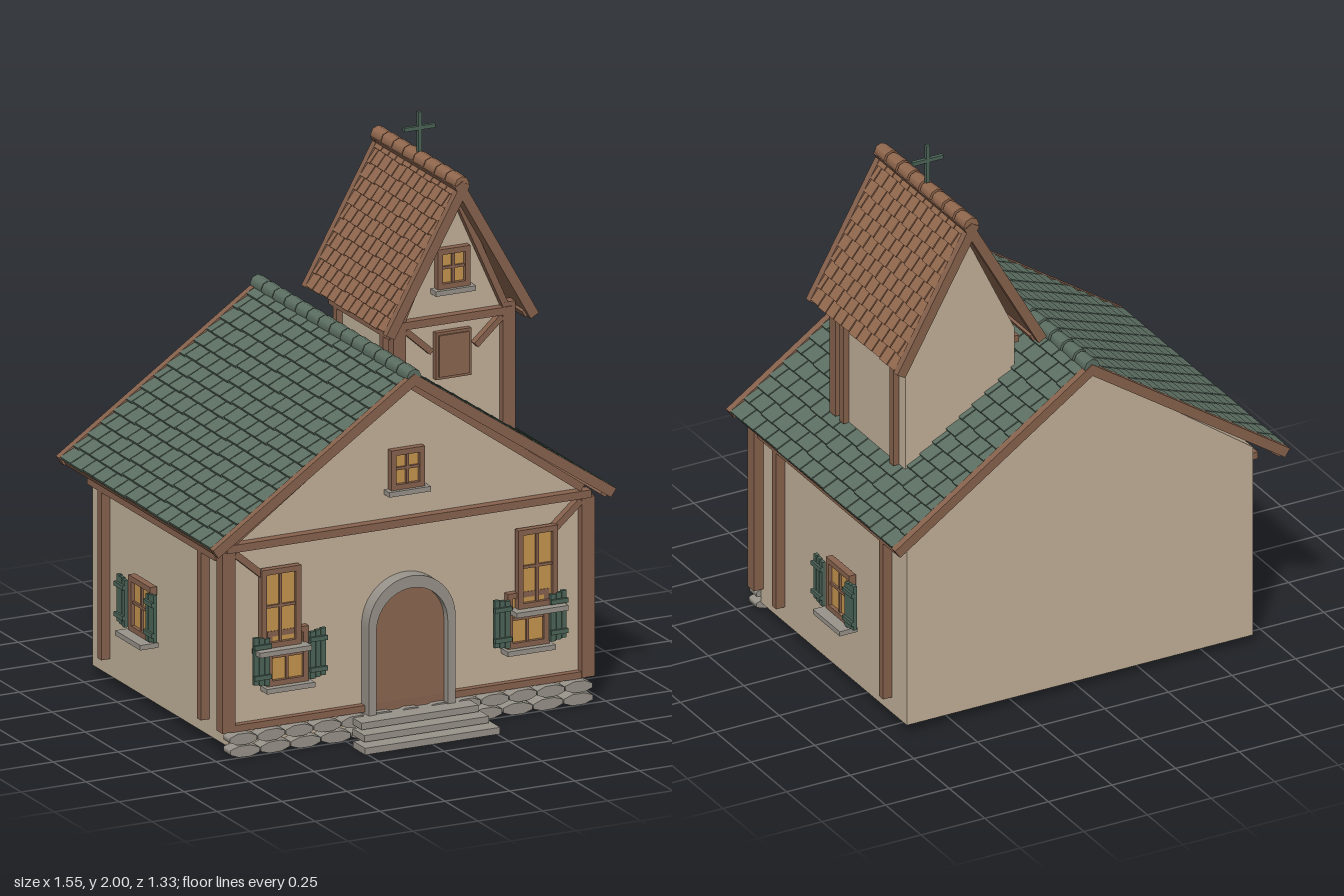
import * as THREE from 'three';
import { mergeGeometries } from 'three/addons/utils/BufferGeometryUtils.js';

const paint = (name, color) => Object.assign(new THREE.MeshStandardMaterial({ color }), { name });
const plaster = paint('plaster', 0xc2b199);
const timber = paint('timber', 0x87624d);
const doorWood = paint('door wood', 0x8b6651);
const greenTile = paint('green tile', 0x5d7063);
const brownTile = paint('brown tile', 0x93694f);
const stone = paint('stone', 0x98938a);
const glass = paint('lit glass', 0xc6954f);
const shutterGreen = paint('shutter green', 0x4c6558);

function add(parent, name, geometry, material, x = 0, y = 0, z = 0) {
  const mesh = new THREE.Mesh(geometry, material);
  mesh.name = name;
  mesh.position.set(x, y, z);
  parent.add(mesh);
  return mesh;
}

function box(parent, name, material, w, h, d, x, y, z) {
  return add(parent, name, new THREE.BoxGeometry(w, h, d), material, x, y, z);
}

// Beam between two points in a plane facing the front
function beam(parent, name, x1, y1, x2, y2, z, t = 0.028, d = 0.03) {
  const m = box(parent, name, timber, Math.hypot(x2 - x1, y2 - y1), t, d, (x1 + x2) / 2, (y1 + y2) / 2, z);
  m.rotation.z = Math.atan2(y2 - y1, x2 - x1);
}

function group(parent, name, x = 0, y = 0, z = 0, ry = 0) {
  const g = new THREE.Group();
  g.name = name;
  g.position.set(x, y, z);
  g.rotation.y = ry;
  parent.add(g);
  return g;
}

const extrude = (shape, depth) => new THREE.ExtrudeGeometry(shape, { depth, bevelEnabled: false, curveSegments: 16 });

// Wall block with a gabled top
function gabledWall(parent, name, half, base, eave, peak, z0, z1, x) {
  const pts = [[-half, base], [half, base], [half, eave], [0, peak], [-half, eave]];
  const shape = new THREE.Shape(pts.map(p => new THREE.Vector2(...p)));
  add(parent, name, extrude(shape, z1 - z0), plaster, x, 0, z0);
}

// Framed window facing +z, with its back at z = 0
function makeWindow(parent, name, w, h, x, y, z, { ry = 0, shutters = false, sill = w + 0.03, sillDepth = 0.04 } = {}) {
  const g = group(parent, name, x, y, z, ry);
  const t = 0.02;
  box(g, 'windowGlass', glass, w - t, h - t, 0.012, 0, 0, 0.006);
  for (const s of [-1, 1]) {
    box(g, 'frameSide', timber, t, h, 0.026, s * (w - t) / 2, 0, 0.013);
    box(g, 'frameRail', timber, w, t, 0.026, 0, s * (h - t) / 2, 0.013);
    if (!shutters) continue;
    const sh = group(g, 'shutter', s * (w / 2 + 0.028), 0, 0.035);
    for (let i = -1; i <= 1; i++) box(sh, 'shutterBoard', shutterGreen, 0.019, 0.17, 0.014, i * 0.021, i * s * 0.004, 0);
    for (const k of [-1, 1]) box(sh, 'shutterBatten', shutterGreen, 0.066, 0.016, 0.012, 0, k * 0.055, 0.01);
  }
  box(g, 'mullion', timber, 0.01, h - t, 0.018, 0, 0, 0.011);
  box(g, 'crossbar', timber, w - t, 0.01, 0.018, 0, h * 0.02, 0.011);
  box(g, 'sill', stone, sill, 0.018, sillDepth, 0, -h / 2 - 0.008, sillDepth / 2);
  return g;
}

// Two tiled slopes with verge beams, eave beams and ridge caps
function makeRoof(parent, name, cx, ridge, half, drop, z0, z1, rows, cols, tileMat) {
  const roof = group(parent, name, cx, ridge, 0);
  const len = Math.hypot(half, drop), angle = Math.atan2(drop, half);
  const depth = z1 - z0, mid = (z0 + z1) / 2;
  const tileL = (len - 0.01) / rows, tileW = (depth - 0.05) / cols;
  for (const s of [-1, 1]) {
    const slope = group(roof, 'roofSlope');
    slope.rotation.z = -s * angle;
    box(slope, 'roofBoards', timber, len - 0.01, 0.014, depth - 0.02, s * (len / 2 - 0.005), -0.026, mid);
    for (const z of [z0 + 0.0135, z1 - 0.0135]) box(slope, 'vergeBeam', timber, len, 0.036, 0.027, s * len / 2, -0.016, z);
    box(slope, 'eaveBeam', timber, 0.025, 0.026, depth - 0.04, s * (len - 0.02), -0.03, mid);
    const tiles = [];
    for (let r = 0; r < rows; r++) {
      for (let c = 0; c <= cols; c++) {
        // Every other course starts and ends with a half tile
        const shift = r % 2 ? 0.5 : 0;
        const a = Math.max(0, c - shift), b = Math.min(cols, c + 1 - shift);
        if (b - a < 0.1) continue;
        const tile = new THREE.BoxGeometry(tileL * 1.12, 0.012, (b - a) * tileW - 0.005);
        tile.rotateZ(s * 0.16);
        const jitter = ((r * 7 + c * 5) % 4) * 0.0012;
        tile.translate(s * ((r + 0.5) * tileL + jitter), -0.008, z0 + 0.025 + (a + b) / 2 * tileW);
        tiles.push(tile);
      }
    }
    add(slope, 'roofTiles', mergeGeometries(tiles), tileMat);
  }
  const count = Math.round(depth / 0.085), step = depth / count;
  for (let i = 0; i < count; i++) {
    const cap = add(roof, 'ridgeCap', new THREE.CylinderGeometry(0.027, 0.03, step - 0.008, 8), tileMat,
      0, -0.009, z0 + (i + 0.5) * step);
    cap.rotation.x = Math.PI / 2;
  }
}

// Arched outline for the door and its surround
function arch(Type, r, base, spring) {
  const p = new Type();
  p.moveTo(-r, base);
  p.lineTo(r, base);
  p.lineTo(r, spring);
  p.absarc(0, spring, r, 0, Math.PI, false);
  p.lineTo(-r, base);
  return p;
}

// Rough stones laid in a row along x
function stoneRow(parent, count, x0, x1, y, h, z, d) {
  const step = (x1 - x0) / count;
  for (let i = 0; i < count; i++) {
    const geo = new THREE.CylinderGeometry(0.5, 0.5, 1, 8);
    geo.rotateY(Math.PI / 8);
    geo.rotateX(Math.PI / 2);
    geo.scale((step - 0.004) * 1.08, h * 1.08, d);
    const m = add(parent, 'foundationStone', geo, stone, x0 + (i + 0.5) * step, y, z);
    m.rotation.z = ((i * 5) % 3 - 1) * 0.03;
  }
}

export function createModel() {
  const model = new THREE.Group();
  model.name = 'chapel';

  // Main hall
  const hall = group(model, 'hall');
  gabledWall(hall, 'hallWalls', 0.68, 0.03, 0.76, 1.25, -0.575, 0.455, 0);
  makeRoof(hall, 'hallRoof', 0, 1.295, 0.775, 0.525, -0.665, 0.53, 15, 14, greenTile);
  box(hall, 'baseBeam', timber, 1.36, 0.024, 0.03, 0, 0.1, 0.465);
  box(hall, 'tieBeam', timber, 1.4, 0.028, 0.04, 0, 0.752, 0.47);
  for (const s of [-1, 1]) {
    box(hall, 'cornerPost', timber, 0.05, 0.65, 0.045, s * 0.692, 0.415, 0.46);
    beam(hall, 'gableRafter', s * 0.67, 0.775, 0, 1.25, 0.468);
    beam(hall, 'cornerBrace', s * 0.665, 0.73, s * 0.555, 0.635, 0.468, 0.024);
    for (const z of [0.3, -0.455]) box(hall, 'sidePost', timber, 0.036, 0.64, 0.028, s * 0.696, 0.41, z);
    box(hall, 'sideBeam', timber, 0.036, 0.026, 0.97, s * 0.696, 0.708, -0.065);
    makeWindow(hall, 'sideWindow', 0.165, 0.2, s * 0.69, 0.36, -0.15,
      { ry: s * Math.PI / 2, shutters: true, sillDepth: 0.07, sill: 0.19 });
    makeWindow(hall, 'lowerWindow', 0.16, 0.2, s * 0.463, 0.332, 0.455, { shutters: true, sill: 0.185, sillDepth: 0.05 });
    makeWindow(hall, 'tallWindow', 0.152, 0.285, s * 0.494, 0.517, 0.467, { sill: 0.2, sillDepth: 0.06 });
  }
  makeWindow(hall, 'gableWindow', 0.13, 0.145, 0, 0.942, 0.455);

  // Entrance
  const entrance = group(model, 'entrance');
  const surround = arch(THREE.Shape, 0.167, 0.07, 0.397);
  surround.holes.push(arch(THREE.Path, 0.137, 0.071, 0.384));
  add(entrance, 'doorSurround', extrude(surround, 0.055), stone, 0, 0, 0.455);
  add(entrance, 'door', extrude(arch(THREE.Shape, 0.138, 0.07, 0.384), 0.025), doorWood, 0, 0, 0.455);
  [[0.52, 0.012, 0.62], [0.48, 0.042, 0.575], [0.45, 0.07, 0.525]].forEach(([w, y, z]) =>
    box(entrance, 'step', stone, w, 0.024, 0.09, 0, y, z));

  // Foundation stones
  const foundation = group(model, 'foundation');
  stoneRow(foundation, 13, -0.7, 0.7, 0.067, 0.04, 0.478, 0.05);
  stoneRow(foundation, 12, -0.7, 0.7, 0.024, 0.04, 0.48, 0.055);
  stoneRow(foundation, 5, 0.14, 0.56, 0.022, 0.03, 0.145, 0.05);

  // Tower
  const tower = group(model, 'tower', 0.357);
  gabledWall(tower, 'towerWalls', 0.215, 0.85, 1.34, 1.79, -0.37, 0.1, 0);
  makeRoof(tower, 'towerRoof', 0, 1.84, 0.292, 0.515, -0.455, 0.19, 11, 11, brownTile);
  box(tower, 'towerTieBeam', timber, 0.44, 0.028, 0.04, 0, 1.33, 0.112);
  for (const s of [-1, 1]) {
    box(tower, 'towerCornerPost', timber, 0.048, 0.46, 0.04, s * 0.211, 1.13, 0.108);
    beam(tower, 'towerRafter', s * 0.2, 1.345, 0, 1.79, 0.112, 0.024);
    beam(tower, 'towerBrace', s * 0.185, 1.31, s * 0.085, 1.22, 0.112, 0.022);
    for (const z of [0.04, -0.312]) box(tower, 'towerSidePost', timber, 0.03, 0.42, 0.026, s * 0.222, 1.11, z);
    box(tower, 'towerSideBeam', timber, 0.03, 0.026, 0.46, s * 0.222, 1.29, -0.13);
  }
  makeWindow(tower, 'towerWindow', 0.125, 0.145, 0, 1.512, 0.1);
  box(tower, 'towerHatchFrame', timber, 0.136, 0.17, 0.022, 0, 1.2, 0.11);
  box(tower, 'towerHatch', doorWood, 0.115, 0.15, 0.008, 0, 1.2, 0.124);

  // Roof cross
  const cross = group(tower, 'cross', 0, 0, -0.14);
  box(cross, 'crossUpright', shutterGreen, 0.014, 0.17, 0.014, 0, 1.915, 0);
  box(cross, 'crossArm', shutterGreen, 0.12, 0.014, 0.014, 0, 1.942, 0);
  return model;
}
